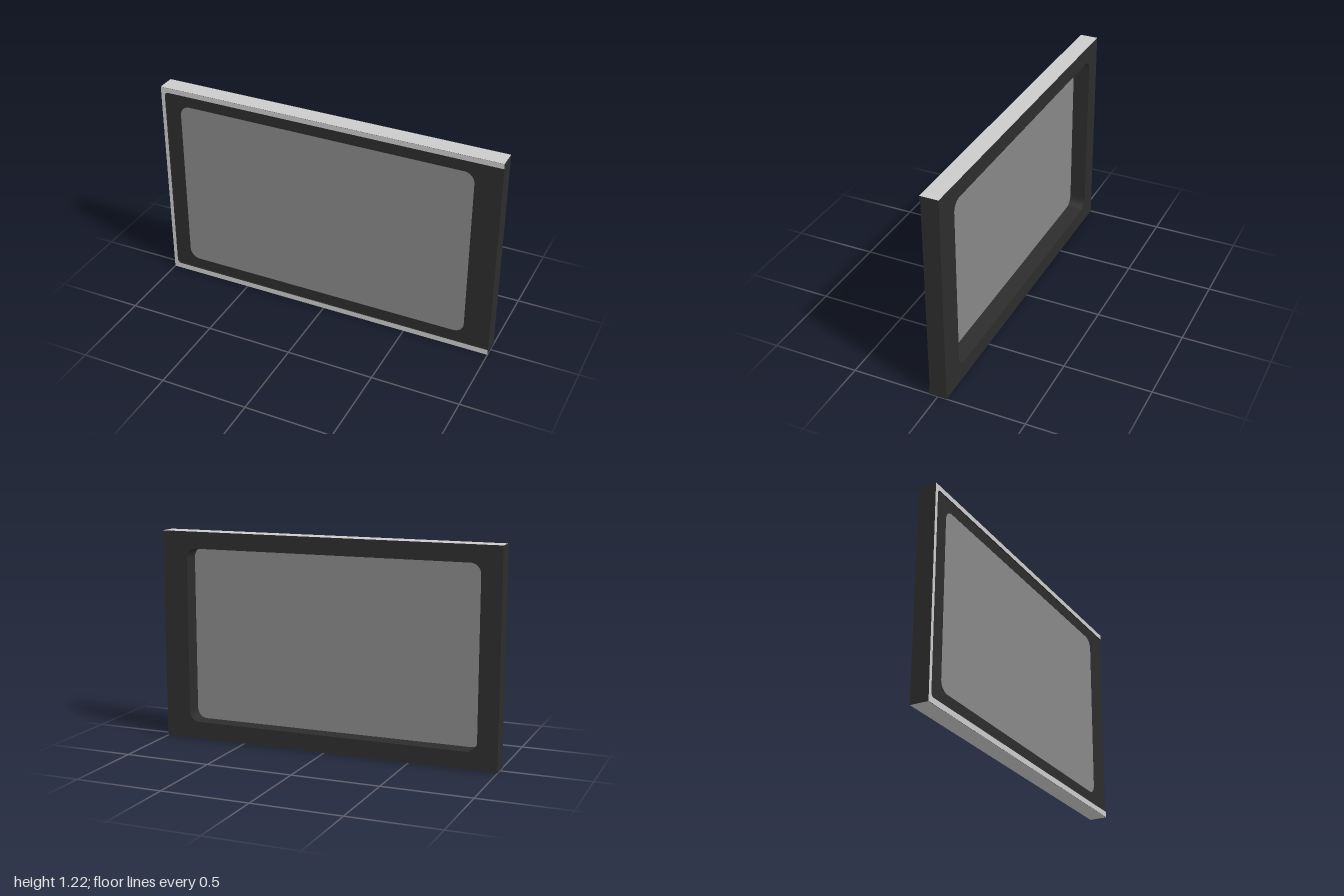
import * as THREE from 'three';

const H = 1.215, BACK = -0.052, FACE = 0.046, FRONT = 0.052;

// Rounded rectangle traced onto a Shape or Path
function roundedRect(p, x0, y0, x1, y1, r) {
  p.moveTo(x0 + r, y0);
  p.lineTo(x1 - r, y0);
  p.absarc(x1 - r, y0 + r, r, -Math.PI / 2, 0, false);
  p.lineTo(x1, y1 - r);
  p.absarc(x1 - r, y1 - r, r, 0, Math.PI / 2, false);
  p.lineTo(x0 + r, y1);
  p.absarc(x0 + r, y1 - r, r, Math.PI / 2, Math.PI, false);
  p.lineTo(x0, y0 + r);
  p.absarc(x0 + r, y0 + r, r, Math.PI, Math.PI * 1.5, false);
  return p;
}

export function createModel() {
  const group = new THREE.Group();
  const dark = new THREE.MeshStandardMaterial({ color: 0x2d2d2d });
  const light = new THREE.MeshStandardMaterial({ color: 0xcccccc });
  const grey = new THREE.MeshStandardMaterial({ color: 0x888888, side: THREE.DoubleSide });

  const add = (name, geometry, material) => {
    const mesh = new THREE.Mesh(geometry, material);
    mesh.name = name;
    group.add(mesh);
    return mesh;
  };
  const extrude = (shape, z0, z1) =>
    new THREE.ExtrudeGeometry(shape, { depth: z1 - z0, bevelEnabled: false, curveSegments: 10 }).translate(0, 0, z0);

  // Frame body with a rounded window
  const body = new THREE.Shape([[-1, 0.001], [1, 0.001], [1, H - 0.001], [-1, H - 0.001]].map(p => new THREE.Vector2(...p)));
  body.holes.push(roundedRect(new THREE.Path(), -0.885, 0.1, 0.85, 1.118, 0.06));
  add('frame', extrude(body, BACK, FACE), dark);

  // Screen set just behind the front face of the frame
  const screen = roundedRect(new THREE.Shape(), -0.885, 0.1, 0.85, 1.118, 0.06);
  add('screen', new THREE.ShapeGeometry(screen, 10).translate(0, 0, FACE - 0.001), grey);

  // Raised C-shaped rim, open towards +x, with dark edges
  const x = -0.978, y0 = 0.033, y1 = H - 0.03, r = 0.022;
  const rim = new THREE.Shape();
  rim.moveTo(-1, 0.001);
  rim.lineTo(1, 0.001);
  rim.lineTo(1, y0);
  rim.lineTo(x + r, y0);
  rim.absarc(x + r, y0 + r, r, Math.PI * 1.5, Math.PI, true);
  rim.lineTo(x, y1 - r);
  rim.absarc(x + r, y1 - r, r, Math.PI, Math.PI / 2, true);
  rim.lineTo(1, y1);
  rim.lineTo(1, H - 0.001);
  rim.lineTo(-1, H - 0.001);
  add('rim', extrude(rim, FACE, FRONT), [light, dark]);

  // Pale top and bottom skins
  for (const [name, y, turn] of [['topSkin', H, -1], ['bottomSkin', 0, 1]]) {
    const skin = add(name, new THREE.PlaneGeometry(2, FRONT - BACK), light);
    skin.rotation.x = turn * Math.PI / 2;
    skin.position.y = y;
  }
  return group;
}
